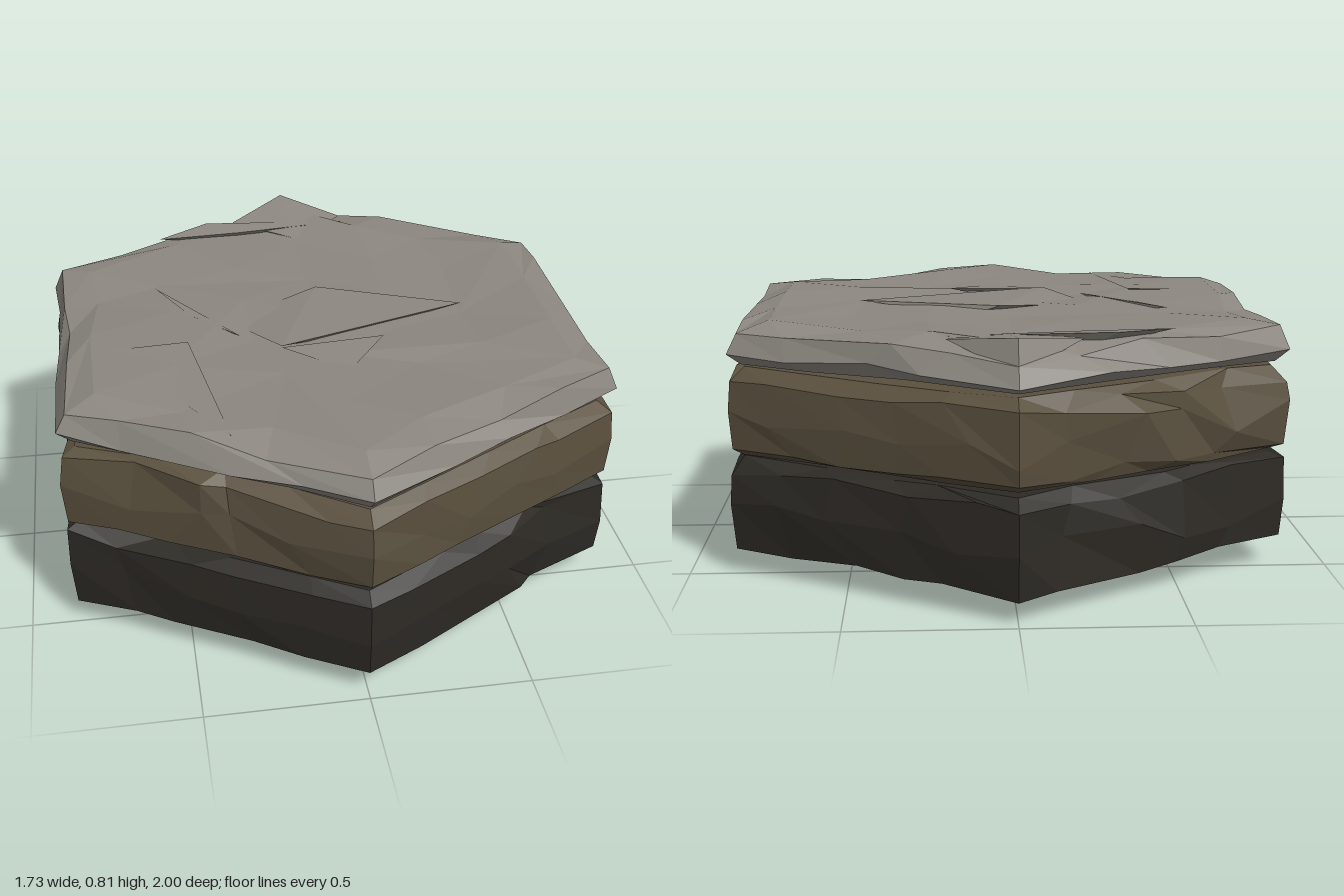
import * as THREE from 'three';
import { ConvexGeometry } from 'three/addons/geometries/ConvexGeometry.js';

// Small seeded random generator, returns -1..1
function seeded(seed) {
  let s = seed;
  return () => {
    s = (s * 16807) % 2147483647;
    return (s / 2147483647) * 2 - 1;
  };
}

const corner = (k) => [Math.sin((k * Math.PI) / 3), Math.cos((k * Math.PI) / 3)];

// One hexagonal loop of n points per side; rough holds three crumble amounts per side
function hexRing({ r, y, n, dy = 0, dr = 0, slide = 0 }, rough, rand) {
  const points = [];
  for (let side = 0; side < 6; side++) {
    const [ax, az] = corner(side);
    const [bx, bz] = corner(side + 1);
    for (let i = 0; i < n; i++) {
      const t = i / n + (i ? (slide * rand()) / n : 0);
      const amount = rough[side * 3 + Math.floor(t * 3)];
      const scale = r - Math.abs(rand()) * dr * (i ? amount : 0.15);
      points.push([
        (ax + (bx - ax) * t) * scale,
        y + rand() * dy * (0.3 + 0.7 * amount),
        (az + (bz - az) * t) * scale,
      ]);
    }
  }
  return points;
}

// Stitches loops of differing point counts, listed from bottom centre to top centre
function slabGeometry(rings) {
  const out = [];
  for (let k = 0; k < rings.length - 1; k++) {
    const a = rings[k], b = rings[k + 1];
    const na = a.length, nb = b.length;
    let i = 0, j = 0;
    while (i < na || j < nb) {
      const stepA = j >= nb || (i < na && (i + 1) / na <= (j + 1) / nb);
      const p = a[i % na], q = b[j % nb];
      if (stepA) {
        if (na > 1) out.push(...p, ...a[(i + 1) % na], ...q);
        i++;
      } else {
        if (nb > 1) out.push(...p, ...b[(j + 1) % nb], ...q);
        j++;
      }
    }
  }
  const geometry = new THREE.BufferGeometry();
  geometry.setAttribute('position', new THREE.Float32BufferAttribute(out, 3));
  geometry.computeVertexNormals();
  return geometry;
}

function stone(color) {
  return new THREE.MeshStandardMaterial({ color, flatShading: true });
}

function makeSlab({ name, color, seed, bottom, top, rough, rings }) {
  const rand = seeded(seed);
  const loops = rings.map((ring) => hexRing(ring, rough, rand));
  const mesh = new THREE.Mesh(slabGeometry([[[0, bottom, 0]], ...loops, [[0, top, 0]]]), stone(color));
  mesh.name = name;
  return mesh;
}

function makeShard(name, color, points) {
  const mesh = new THREE.Mesh(
    new ConvexGeometry(points.map((p) => new THREE.Vector3(...p))), stone(color));
  mesh.name = name;
  return mesh;
}

export function createModel() {
  const group = new THREE.Group();
  group.name = 'layeredHexTile';
  const dark = 0x2d2a25, brown = 0x5a503e, grey = 0x8c8780;

  // Side order: front right, right, back right, back left, left, front left
  group.add(makeSlab({
    name: 'bedrockLayer', color: dark, seed: 731, bottom: 0.065, top: 0.375,
    rough: [0, 0.3, 1, 0.3, 0.1, 0.2, 0.7, 0.5, 0.3, 1, 1, 1, 1, 1, 1, 1, 0.2, 0.1],
    rings: [
      { r: 0.3, y: 0.06, n: 1, dy: 0.025, dr: 0.05 },
      { r: 0.62, y: 0.062, n: 2, dy: 0.025, dr: 0.1, slide: 0.3 },
      { r: 0.85, y: 0.065, n: 3, dy: 0.02, dr: 0.08, slide: 0.3 },
      { r: 0.985, y: 0.083, n: 5, dy: 0.018, dr: 0.045, slide: 0.35 },
      { r: 1.0, y: 0.21, n: 5, dy: 0.06, dr: 0.045, slide: 0.35 },
      { r: 0.995, y: 0.335, n: 5, dy: 0.025, dr: 0.045, slide: 0.35 },
      { r: 0.95, y: 0.368, n: 4, dy: 0.01, dr: 0.05, slide: 0.3 },
      { r: 0.6, y: 0.375, n: 2, dy: 0.006 },
    ],
  }));

  group.add(makeSlab({
    name: 'soilLayer', color: brown, seed: 4127, bottom: 0.38, top: 0.65,
    rough: [0.5, 0.1, 0.1, 0.1, 0.5, 0.9, 0.2, 0.2, 0.2, 1, 1, 1, 1, 1, 1, 1, 1, 0.7],
    rings: [
      { r: 0.6, y: 0.38, n: 2, dy: 0.004 },
      { r: 0.95, y: 0.376, n: 4, dy: 0.01, dr: 0.04, slide: 0.3 },
      { r: 0.99, y: 0.4, n: 5, dy: 0.02, dr: 0.04, slide: 0.35 },
      { r: 1.0, y: 0.51, n: 5, dy: 0.06, dr: 0.045, slide: 0.35 },
      { r: 0.99, y: 0.615, n: 5, dy: 0.025, dr: 0.045, slide: 0.35 },
      { r: 0.94, y: 0.65, n: 4, dy: 0.01, dr: 0.05, slide: 0.3 },
      { r: 0.6, y: 0.648, n: 2, dy: 0.006 },
    ],
  }));

  group.add(makeSlab({
    name: 'stoneTop', color: grey, seed: 9043, bottom: 0.665, top: 0.778,
    rough: [0.6, 0.5, 0.4, 0.4, 0.4, 0.5, 0.5, 0.8, 0.9, 1, 0.8, 1, 0.7, 0.6, 0.4, 0.6, 0.9, 0.7],
    rings: [
      { r: 0.6, y: 0.663, n: 2, dy: 0.004 },
      { r: 0.95, y: 0.661, n: 3, dy: 0.006, dr: 0.03, slide: 0.25 },
      { r: 0.997, y: 0.698, n: 4, dy: 0.018, dr: 0.035, slide: 0.3 },
      { r: 0.965, y: 0.762, n: 4, dy: 0.022, dr: 0.06, slide: 0.35 },
      { r: 0.86, y: 0.782, n: 3, dy: 0.018, dr: 0.1, slide: 0.35 },
      { r: 0.58, y: 0.778, n: 2, dy: 0.014, dr: 0.15, slide: 0.35 },
      { r: 0.28, y: 0.777, n: 1, dy: 0.012, dr: 0.1 },
    ],
  }));

  // Split flakes lying almost flush with the top face
  const flakes = [
    [[0.02, 0.788, -0.18], [0.48, 0.781, 0], [-0.15, 0.79, 0.22], [-0.3, 0.765, -0.02],
      [0.12, 0.75, -0.15], [0.1, 0.75, 0.1]],
    [[-0.69, 0.788, 0.16], [-0.44, 0.792, 0.15], [-0.55, 0.78, 0.25], [-0.36, 0.776, 0.7], [-0.52, 0.74, 0.35]],
    [[-0.15, 0.785, 0.22], [0.18, 0.79, 0.2], [0.04, 0.775, 0.38], [0, 0.75, 0.25]],
    [[-0.3, 0.797, -0.74], [0.2, 0.785, -0.71], [-0.19, 0.788, -0.66], [-0.48, 0.79, -0.64], [-0.2, 0.74, -0.7]],
    [[-0.52, 0.789, -0.25], [-0.27, 0.783, 0.12], [-0.42, 0.783, -0.05], [-0.38, 0.75, -0.05]],
    // Raised back tip
    [[0, 0.815, -0.92], [0.2, 0.785, -0.76], [-0.2, 0.785, -0.76], [0.02, 0.775, -0.6],
      [0, 0.72, -0.97], [0, 0.72, -0.7]],
  ];
  flakes.forEach((points, i) => group.add(makeShard(`topFlake${i + 1}`, grey, points)));

  // Low lumps hanging from the underside
  for (const [x, z, y, s] of [[-0.41, 0.3, 0, 0.24], [0.02, -0.2, 0.03, 0.2], [0.62, -0.2, 0.045, 0.16], [0, 0.6, 0.03, 0.2]]) {
    group.add(makeShard('undersideLump', dark, [
      [x, y, z], [x + s, 0.085, z + s * 0.4], [x - s * 0.9, 0.085, z + s * 0.6],
      [x - s * 0.5, 0.085, z - s], [x + s * 0.6, 0.085, z - s * 0.8], [x, 0.12, z],
    ]));
  }

  return group;
}
